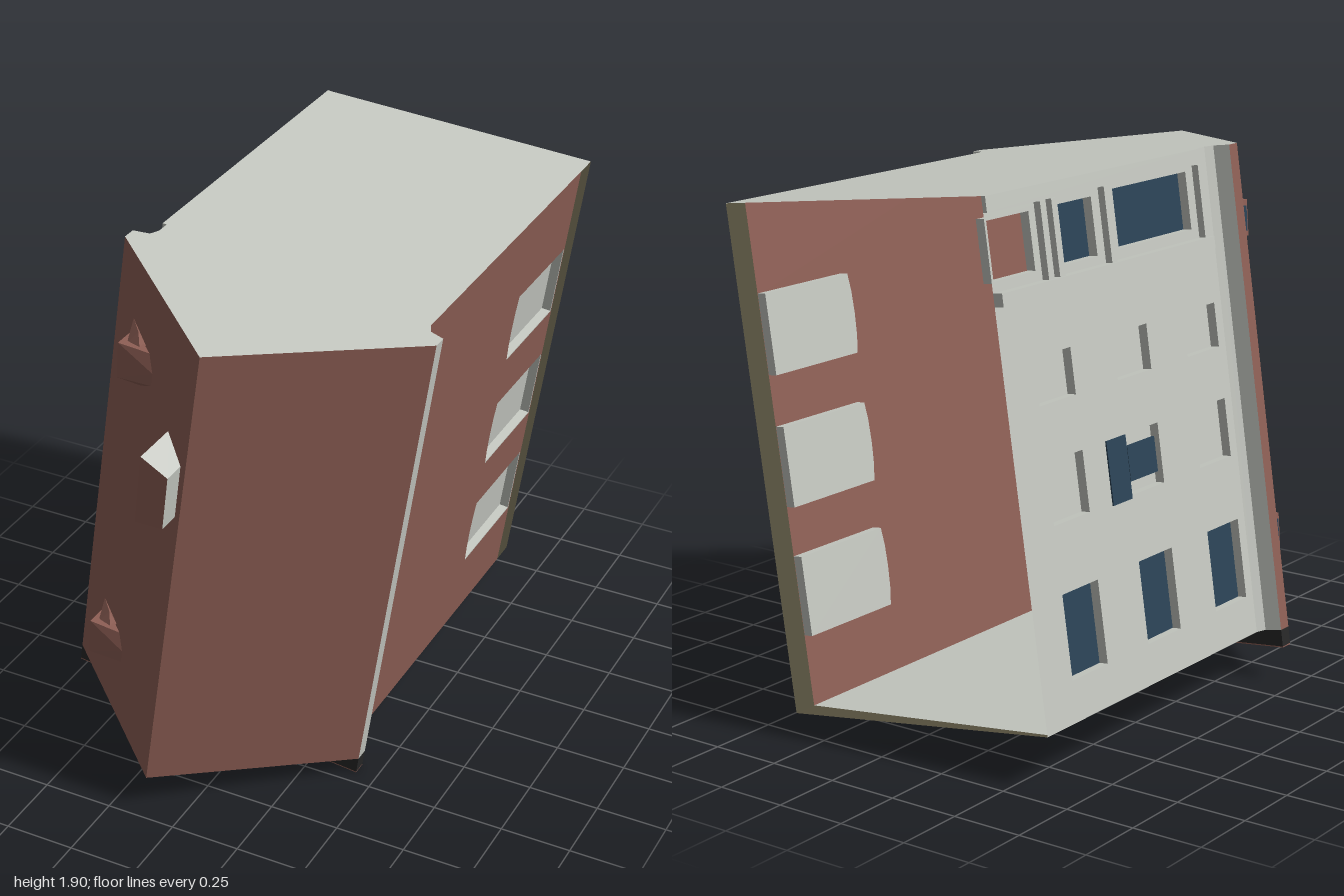
import * as THREE from 'three';
import { ConvexGeometry } from 'three/addons/geometries/ConvexGeometry.js';

const H = 1.71; // length of the leaning walls

export function createModel() {
  const group = new THREE.Group();
  const mat = (name, color) => {
    const m = new THREE.MeshStandardMaterial({ color, side: THREE.DoubleSide });
    m.name = name;
    return m;
  };
  const red = mat('brick red', 0x8f6056);
  const light = mat('pale stone', 0xc6c9c2);
  const olive = mat('olive base', 0x57523f);
  const blue = mat('dark blue glass', 0x2b4356);
  const dark = mat('charcoal', 0x282828);

  // the whole building leans sideways
  const lean = new THREE.Matrix4().makeBasis(
    new THREE.Vector3(1, -0.11, 0), new THREE.Vector3(0.146, 1, 0), new THREE.Vector3(0, 0, 1)
  ).setPosition(-0.25, 0.135, 0);

  const put = (name, geo, material, leaning = true) => {
    if (leaning) geo.applyMatrix4(lean);
    geo = geo.index ? geo.toNonIndexed() : geo;
    geo.computeVertexNormals();
    const mesh = new THREE.Mesh(geo, material);
    mesh.name = name;
    group.add(mesh);
    return mesh;
  };
  const box = (name, x0, x1, y0, y1, z0, z1, material) => put(name,
    new THREE.BoxGeometry(x1 - x0, y1 - y0, z1 - z0)
      .translate((x0 + x1) / 2, (y0 + y1) / 2, (z0 + z1) / 2), material);

  const shapeOf = pts => new THREE.Shape(pts.map(p => new THREE.Vector2(p[0], p[1])));
  const rect = (z0, z1, h0, h1) => [[z0, h0], [z1, h0], [z1, h1], [z0, h1]];
  // turns a shape drawn in (z, height) into a side wall at x
  const upright = (geo, x) => geo.applyMatrix4(new THREE.Matrix4().makeBasis(
    new THREE.Vector3(0, 0, 1), new THREE.Vector3(0, 1, 0), new THREE.Vector3(-1, 0, 0)
  ).setPosition(x, 0, 0));

  // flat wall strip between two plan points (x, z)
  const panel = (name, p, q, material) => {
    const geo = new THREE.PlaneGeometry(1, H);
    const pos = geo.attributes.position;
    for (let i = 0; i < pos.count; i++) {
      const e = pos.getX(i) < 0 ? p : q;
      pos.setXYZ(i, e[0], pos.getY(i) + H / 2, e[1]);
    }
    put(name, geo, material);
  };

  // wall with recessed openings; inward is +1 or -1 along x
  const wall = (name, x, outline, openings, inward, material) => {
    const depth = 0.035;
    const shape = shapeOf(outline);
    for (const o of openings) {
      shape.holes.push(new THREE.Path(o.pts.map(p => new THREE.Vector2(p[0], p[1]))));
      // reveal: a thin ring lining the opening
      const cz = o.pts.reduce((s, p) => s + p[0], 0) / o.pts.length;
      const ch = o.pts.reduce((s, p) => s + p[1], 0) / o.pts.length;
      const ring = shapeOf(o.pts.map(p =>
        [p[0] + Math.sign(p[0] - cz) * 0.006, p[1] + Math.sign(p[1] - ch) * 0.006]));
      ring.holes.push(new THREE.Path(o.pts.map(p => new THREE.Vector2(p[0], p[1]))));
      const geo = new THREE.ExtrudeGeometry(ring, { depth: depth - 0.002, bevelEnabled: false });
      put('windowReveal', upright(geo, inward > 0 ? x + depth : x - 0.002), light);
      put('windowPane', upright(new THREE.ShapeGeometry(shapeOf(o.pts)), x + inward * depth), o.material);
    }
    put(name, upright(new THREE.ShapeGeometry(shape), x), material);
  };

  // ---- facade on the right-hand side (-x)
  const at = t => H * (1 - t);
  const openings = [];
  for (const z of [-0.745, -0.31, 0.11]) {
    openings.push({ pts: rect(z, z + 0.2, at(0.92), at(0.755)), material: blue });
    openings.push({ pts: rect(z, z + 0.2, at(0.625), at(0.505)), material: light });
    openings.push({ pts: rect(z, z + 0.2, at(0.4), at(0.31)), material: light });
  }
  openings.push({ pts: rect(-0.9, -0.68, at(0.155), at(0.045)), material: red });
  openings.push({ pts: rect(-0.55, -0.34, at(0.158), at(0.045)), material: blue });
  openings.push({ pts: rect(-0.22, 0.22, at(0.155), at(0.04)), material: blue });
  wall('facade', -0.36, rect(-0.91, 0.35, 0, H), openings, 1, light);
  box('middleGlass', -0.365, -0.358, at(0.63), at(0.505), -0.42, -0.31, blue);
  box('middleGlassInner', -0.352, -0.345, at(0.6), at(0.53), -0.29, -0.13, blue);
  box('shopCornice', -0.395, -0.36, at(0.2), at(0.175), -0.91, 0.3, light);
  box('shopLintel', -0.375, -0.36, at(0.03), H, -0.91, 0.3, light);
  for (const z of [-0.65, -0.59, -0.3, 0.26]) {
    box('shopPilaster', -0.385, -0.36, at(0.175), at(0.03), z, z + 0.03, light);
  }

  // ---- brick wall with arched blind windows (+x)
  const arches = [0.25, 0.69, 1.135].map(h => ({
    pts: [[-0.905, h], [-0.5, h], [-0.491, h + 0.06], [-0.488, h + 0.13],
      [-0.491, h + 0.2], [-0.5, h + 0.26], [-0.905, h + 0.26]],
    material: light,
  }));
  wall('brickWall', 0.62, rect(-0.91, 0.35, 0, H), arches, -1, red);
  panel('baseBand', [0.62, -0.91], [0.62, -1], olive);

  // ---- pointed front and eaves
  panel('frontSlopeRight', [-0.43, 0.45], [0.12, 0.945], red);
  panel('frontSlopeLeft', [0.12, 0.945], [0.685, 0.45], red);
  panel('fasciaRight', [-0.43, 0.4], [-0.43, 0.45], red);
  panel('fasciaLeft', [0.685, 0.45], [0.685, 0.4], light);
  for (const [w, c, e] of [[-0.36, -0.375, -0.43], [0.62, 0.635, 0.685]]) {
    panel('corniceCove', [w, 0.35], [c, 0.385], light);
    panel('corniceLip', [c, 0.385], [e, 0.4], light);
  }

  // ---- end faces
  const plan = [[-0.36, -0.91], [0.62, -1], [0.62, 0.35], [0.635, 0.385], [0.685, 0.4], [0.685, 0.45],
    [0.12, 0.945], [-0.43, 0.45], [-0.43, 0.4], [-0.375, 0.385], [-0.36, 0.35]];
  const endFace = (name, pts, h, material) => put(name,
    new THREE.ShapeGeometry(shapeOf(pts)).rotateX(Math.PI / 2).translate(0, h, 0), material);
  endFace('topEnd', plan, H, light);
  endFace('bottomEnd', [[-0.36, -0.89], [0.62, -0.91], ...plan.slice(2)], 0, light);
  endFace('bottomBaseBand', [[-0.36, -0.91], [0.62, -1], [0.62, -0.91], [-0.36, -0.89]], 0, olive);

  // ---- cornice returns below the lower end
  for (const x of [-0.43, 0.445]) {
    box('corniceReturn', x, x + 0.24, -0.06, 0, 0.4, 0.45, dark);
    box('corniceReturnEdge', x, x + 0.24, -0.064, -0.06, 0.4, 0.45, red);
  }

  // ---- two faceted oriels on the front slope
  const oriel = [[-0.49, 0.38, 0.59], [-0.48, 0.51, 0.59], [-0.49, 0.38, 0.7], [-0.48, 0.51, 0.7],
    [-0.355, 0.51, 0.715], [-0.335, 0.45, 0.735], [-0.345, 0.4, 0.73], [-0.415, 0.355, 0.675]];
  const hood = [[-0.46, 0.5, 0.6], [-0.46, 0.5, 0.68], [-0.4, 0.5, 0.7],
    [-0.46, 0.57, 0.63], [-0.42, 0.55, 0.67], [-0.4, 0.5, 0.66]];
  for (const [dx, dy] of [[0, 0], [0.16, 1.14]]) {
    const pts = list => list.map(p => new THREE.Vector3(p[0] + dx, p[1] + dy, p[2]));
    put('oriel', new ConvexGeometry(pts(oriel)), red, false);
    put('orielHood', new ConvexGeometry(pts(hood)), red, false);
    put('orielGlass', new THREE.BoxGeometry(0.006, 0.09, 0.07)
      .rotateZ(-0.08).translate(dx - 0.486, dy + 0.445, 0.655), blue, false);
  }

  // ---- slanted block near the front edge
  const block = shapeOf([[-0.1, 1.205], [0, 1.205], [0.025, 1.4], [-0.07, 1.455]]);
  put('frontBlock', new THREE.ExtrudeGeometry(block, { depth: 0.18, bevelEnabled: false })
    .translate(0, 0, 0.82), [red, light], false);

  return group;
}
